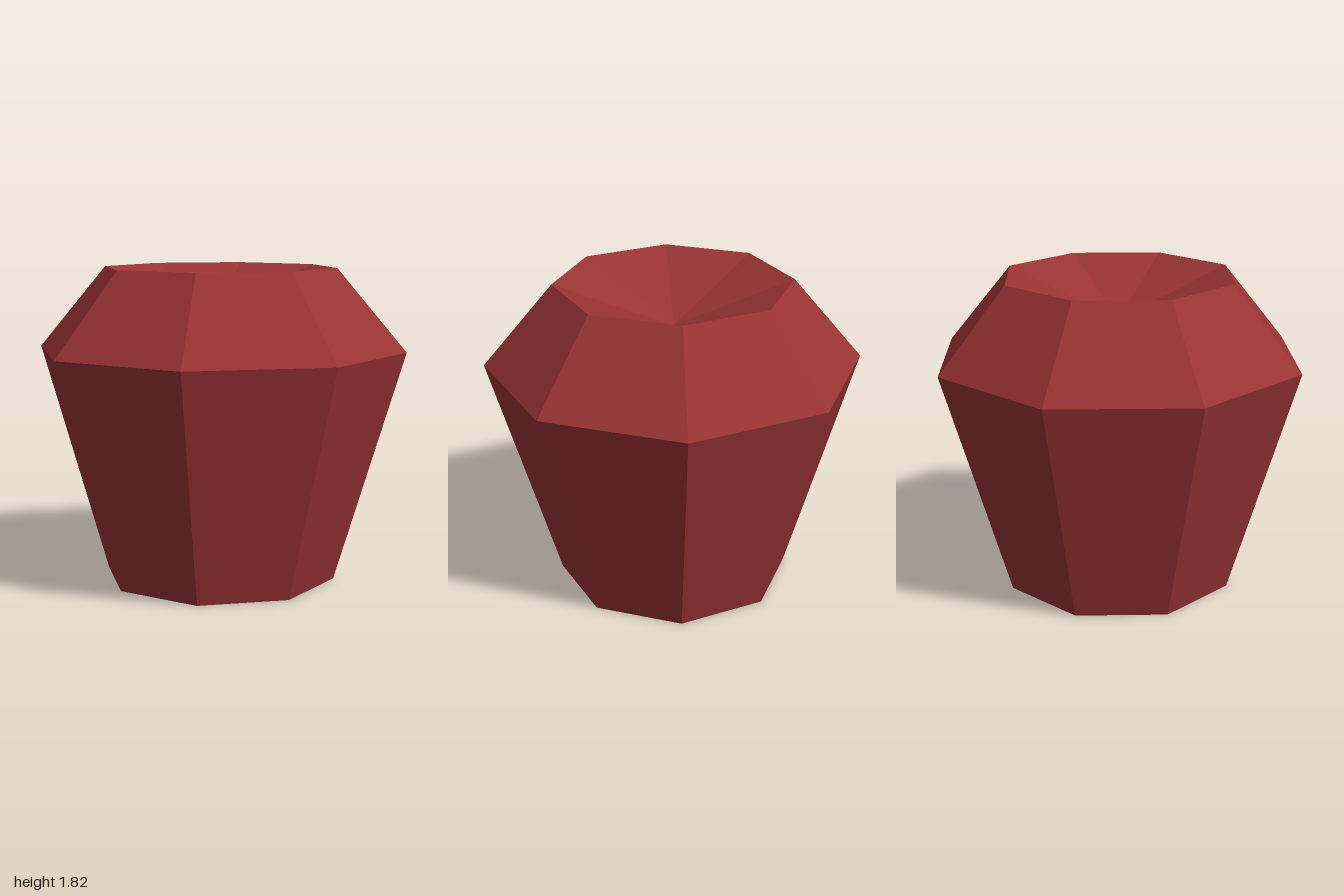
import * as THREE from 'three';

const SIDES = 8;
const CORNER = 1 / Math.cos(Math.PI / SIDES); // flat-to-flat radius -> corner radius

// Eight-sided ring between two [radius, height] levels; bottom-to-top order faces outwards
function facetedBand(name, from, to, material) {
  const points = [from, to].map(([r, y]) => new THREE.Vector2(r * CORNER, y));
  const geometry = new THREE.LatheGeometry(points, SIDES, Math.PI / SIDES).toNonIndexed();
  geometry.computeVertexNormals();
  const mesh = new THREE.Mesh(geometry, material);
  mesh.name = name;
  return mesh;
}

export function createModel() {
  const model = new THREE.Group();
  model.name = 'facetedPot';

  const darkRed = new THREE.MeshStandardMaterial({ color: 0x993333, flatShading: true });
  darkRed.name = 'darkRed';

  // Profile levels: [flat-to-flat radius, height]
  const baseCentre = [0, 0.195];
  const baseRim = [0.63, 0];
  const waist = [1, 1.345];
  const topRim = [0.63, 1.82];
  const topCentre = [0, 1.56];

  model.add(
    facetedBand('baseHollow', baseCentre, baseRim, darkRed),
    facetedBand('body', baseRim, waist, darkRed),
    facetedBand('shoulder', waist, topRim, darkRed),
    facetedBand('topHollow', topRim, topCentre, darkRed),
  );
  return model;
}
